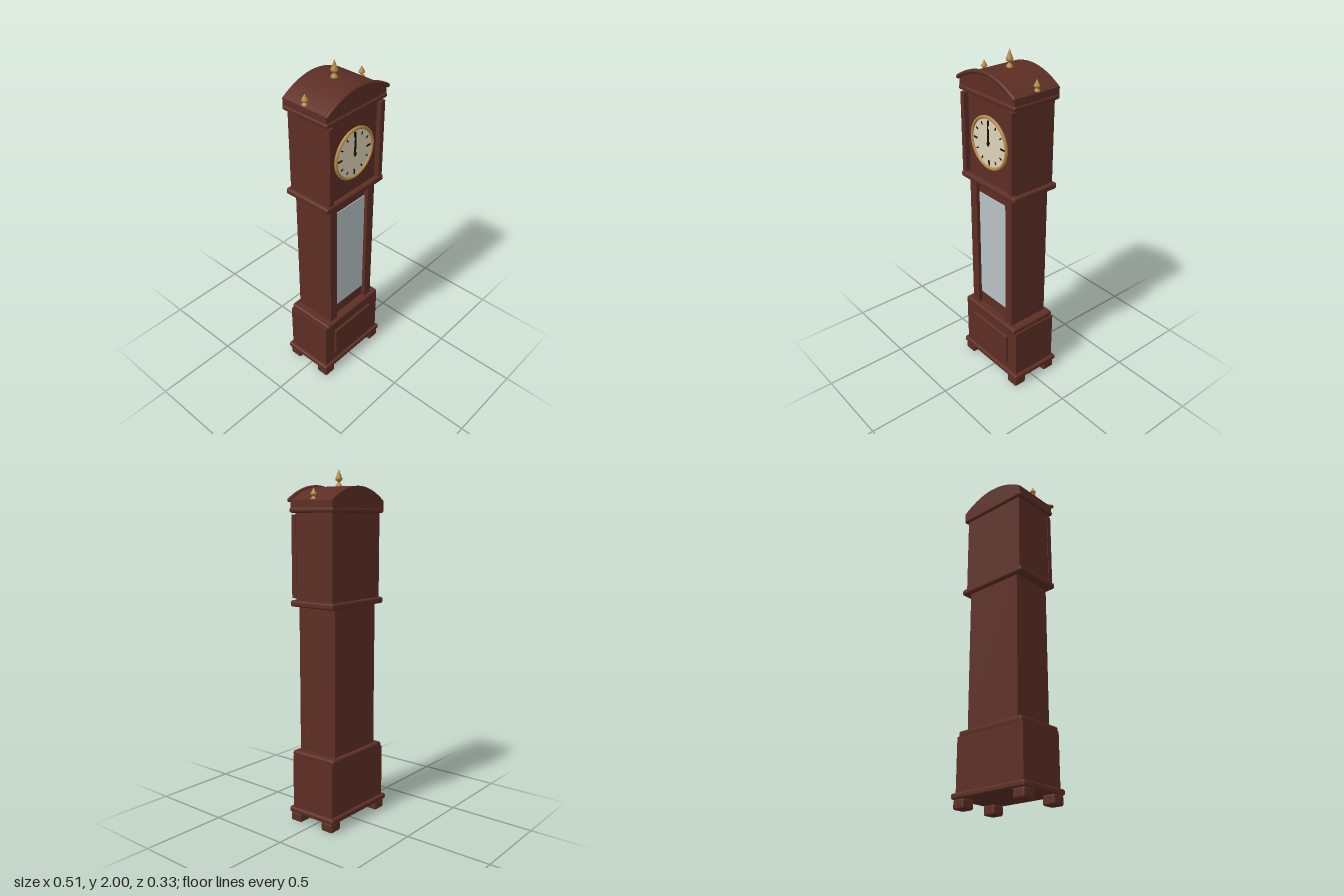
import * as THREE from 'three';
import { RoundedBoxGeometry } from 'three/addons/geometries/RoundedBoxGeometry.js';

const paint = (name, color) => {
  const m = new THREE.MeshStandardMaterial({ color });
  m.name = name;
  return m;
};

export function createModel() {
  const root = new THREE.Group();
  root.name = 'longcaseClock';
  const wood = paint('mahogany', 0x5c2e24);
  const brass = paint('brass', 0xb38a45);
  const ivory = paint('ivory', 0xdfd3b9);
  const black = paint('black', 0x15130f);
  const glass = paint('glass', 0xb7c2c4);

  const add = (name, geometry, material, parent = root) => {
    const mesh = new THREE.Mesh(geometry, material);
    mesh.name = name;
    parent.add(mesh);
    return mesh;
  };
  // box given by its extents, with optional rounded edges
  const block = (name, x0, x1, y0, y1, z0, z1, material = wood, r = 0) => {
    const s = [x1 - x0, y1 - y0, z1 - z0];
    const g = r ? new RoundedBoxGeometry(...s, 2, r) : new THREE.BoxGeometry(...s);
    const mesh = add(name, g, material);
    mesh.position.set((x0 + x1) / 2, (y0 + y1) / 2, (z0 + z1) / 2);
    return mesh;
  };
  const centred = (name, w, y0, y1, z0, z1, material, r) =>
    block(name, -w, w, y0, y1, z0, z1, material, r);

  // feet
  for (const x of [-0.208, 0.208])
    for (const z of [-0.117, 0.112])
      block('foot', x - 0.04, x + 0.04, 0, 0.056, z - 0.04, z + 0.04, wood, 0.012);

  // plinth
  centred('plinthMoulding', 0.255, 0.053, 0.086, -0.167, 0.157, wood, 0.011);
  centred('plinth', 0.235, 0.08, 0.39, -0.148, 0.14);
  centred('plinthPanel', 0.16, 0.137, 0.337, 0.135, 0.155, wood, 0.006);
  centred('plinthCap', 0.226, 0.384, 0.42, -0.15, 0.152, wood, 0.012);

  // trunk with its glazed door
  centred('trunk', 0.18, 0.41, 1.265, -0.125, 0.103);
  for (const s of [-1, 1])
    block('trunkStile', s * 0.1535 - 0.0265, s * 0.1535 + 0.0265, 0.42, 1.255, 0.1, 0.13);
  centred('doorGlass', 0.127, 0.495, 1.178, 0.1, 0.108, glass);

  // hood
  centred('hoodMoulding', 0.23, 1.254, 1.29, -0.15, 0.155, wood, 0.012);
  centred('hood', 0.207, 1.28, 1.775, -0.133, 0.127);
  for (const s of [-1, 1])
    block('hoodPilaster', s * 0.195 - 0.015, s * 0.195 + 0.015, 1.3, 1.756, 0.125, 0.156);
  centred('cornice', 0.23, 1.764, 1.793, -0.15, 0.156, wood, 0.012);

  // arched pediment
  const arch = new THREE.Shape();
  arch.moveTo(-0.225, 1.785);
  arch.lineTo(0.225, 1.785);
  arch.lineTo(0.225, 1.83);
  arch.quadraticCurveTo(0, 1.982, -0.225, 1.83);
  const pediment = add('pediment', new THREE.ExtrudeGeometry(arch,
    { depth: 0.295, bevelEnabled: false, curveSegments: 24 }), wood);
  pediment.position.z = -0.147;
  const rimPath = new THREE.QuadraticBezierCurve3(
    new THREE.Vector3(-0.227, 1.832, 0.153), new THREE.Vector3(0, 1.98, 0.153),
    new THREE.Vector3(0.227, 1.832, 0.153));
  add('pedimentRim', new THREE.TubeGeometry(rimPath, 24, 0.0115, 10), wood);
  for (const p of [rimPath.v0, rimPath.v2])
    add('rimEnd', new THREE.SphereGeometry(0.0115, 10, 8), wood).position.copy(p);

  // finials
  const profile = [[0, 0], [0.02, 0], [0.018, 0.012], [0.008, 0.024], [0.007, 0.03], [0.018, 0.04],
    [0.02, 0.047], [0.016, 0.056], [0.008, 0.078], [0, 0.1]].map(p => new THREE.Vector2(...p));
  const finial = new THREE.LatheGeometry(profile, 20);
  for (const [x, y, sx, sy] of [[0, 1.9, 1, 1], [-0.21, 1.832, 0.88, 0.64], [0.21, 1.832, 0.88, 0.64]]) {
    const f = add('finial', finial, brass);
    f.position.set(x, y, -0.006);
    f.scale.set(sx, sy, sx);
  }

  // dial
  const dial = new THREE.Group();
  dial.name = 'dial';
  dial.position.set(0, 1.524, 0.127);
  root.add(dial);
  const face = add('dialFace', new THREE.CylinderGeometry(0.142, 0.142, 0.016, 48), ivory, dial);
  face.rotation.x = Math.PI / 2;
  add('bezel', new THREE.TorusGeometry(0.142, 0.009, 10, 48), brass, dial).position.z = 0.008;
  for (let i = 0; i < 12; i++) {
    const a = i * Math.PI / 6, major = i % 3 === 0;
    const tick = add('hourMark', new THREE.BoxGeometry(major ? 0.01 : 0.007, major ? 0.03 : 0.018, 0.003), black, dial);
    tick.position.set(Math.sin(a) * 0.112, Math.cos(a) * 0.112, 0.009);
    tick.rotation.z = -a;
  }
  add('hourHand', new THREE.BoxGeometry(0.011, 0.095, 0.003), black, dial).position.set(0, 0.033, 0.012);
  add('minuteHand', new THREE.BoxGeometry(0.007, 0.142, 0.003), black, dial).position.set(0, 0.056, 0.015);
  const pin = add('handPin', new THREE.CylinderGeometry(0.008, 0.008, 0.01, 16), black, dial);
  pin.rotation.x = Math.PI / 2;
  pin.position.z = 0.013;

  return root;
}
